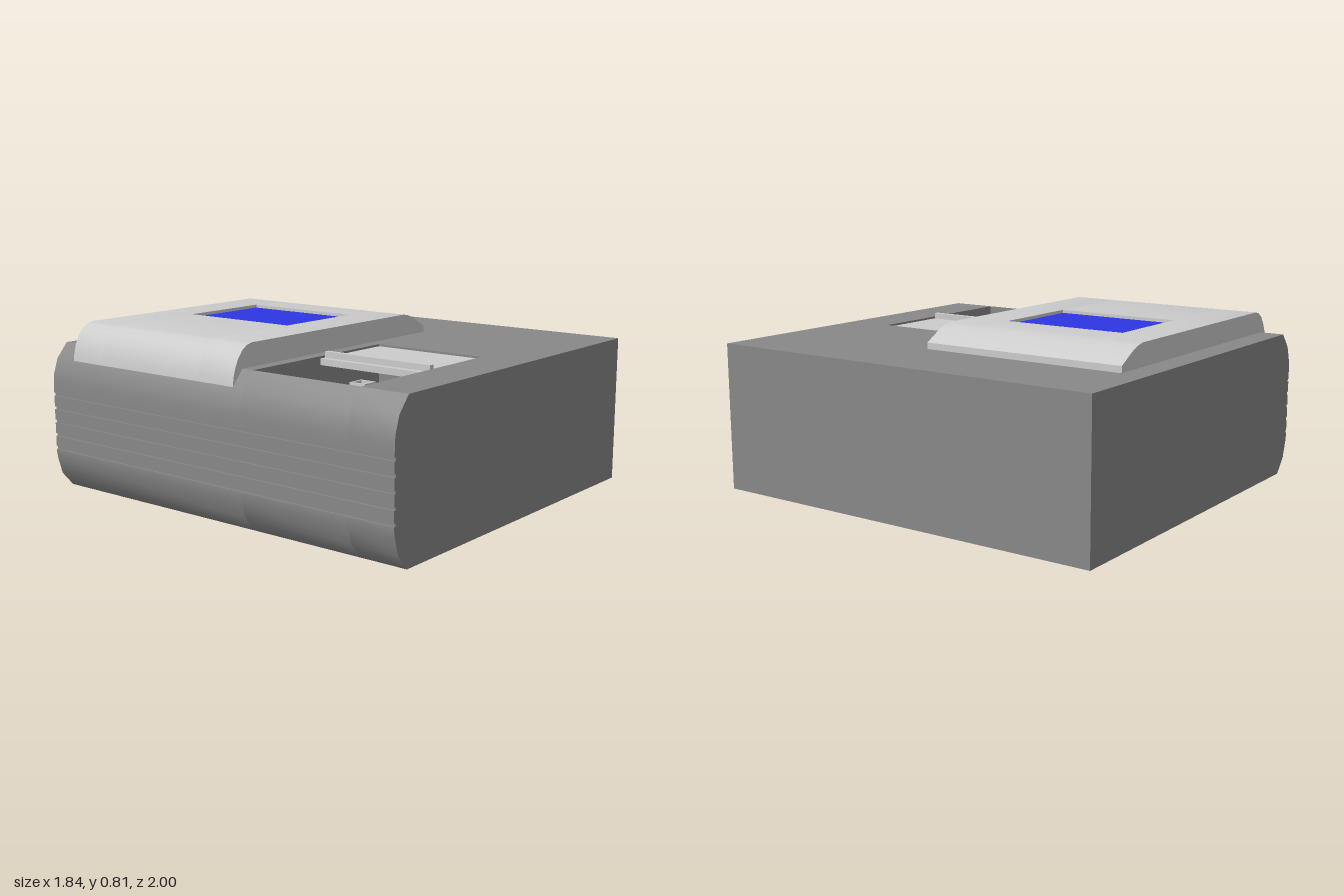
import * as THREE from 'three';
import { toCreasedNormals } from 'three/addons/utils/BufferGeometryUtils.js';

const paint = (color) => new THREE.MeshStandardMaterial({ color, side: THREE.DoubleSide });
const light = paint(0xcccccc);
const dark = paint(0x888888);
const black = paint(0x303030);
const blue = paint(0x2e35e3);

function add(parent, name, geometry, material) {
  const mesh = new THREE.Mesh(geometry, material);
  mesh.name = name;
  parent.add(mesh);
  return mesh;
}

// open-ended sweep of a counter-clockwise xy profile from z0 to z1
function sweep(profile, z0, z1) {
  const pos = [];
  profile.forEach(([ax, ay], i) => {
    const [bx, by] = profile[(i + 1) % profile.length];
    pos.push(ax, ay, z0, bx, by, z0, bx, by, z1);
    pos.push(ax, ay, z0, bx, by, z1, ax, ay, z1);
  });
  const g = new THREE.BufferGeometry();
  g.setAttribute('position', new THREE.Float32BufferAttribute(pos, 3));
  return toCreasedNormals(g, 0.5);
}

// flat outline at depth z
function cap(profile, z) {
  const shape = new THREE.Shape(profile.map(([x, y]) => new THREE.Vector2(x, y)));
  return new THREE.ShapeGeometry(shape).translate(0, 0, z);
}

// box given by its limits
function box(x0, x1, y0, y1, z0, z1) {
  return new THREE.BoxGeometry(x1 - x0, y1 - y0, z1 - z0)
    .translate((x0 + x1) / 2, (y0 + y1) / 2, (z0 + z1) / 2);
}

// swept solid with a rectangular recess cut down from its flat top
function recessedSolid(name, start, rest, z, recess, material) {
  const group = new THREE.Group();
  group.name = name;
  const { x0, x1, floor, top, z0, z1 } = recess;
  const full = [...start, ...rest];
  const pit = [[x1, top], [x1, floor], [x0, floor], [x0, top]];
  const notched = [...start, ...pit, ...rest];
  add(group, name + 'Rear', sweep(full, z[0], z0), material);
  add(group, name + 'Middle', sweep(notched, z0, z1), material);
  add(group, name + 'Front', sweep(full, z1, z[1]), material);
  z.forEach((d) => add(group, name + 'End', cap(full, d), material));
  [z0, z1].forEach((d) => add(group, name + 'RecessWall', cap(pit, d), material));
  return group;
}

export function createModel() {
  const model = new THREE.Group();

  // housing: rounded grip side with shallow grooves, and a deep chamber
  const side = [[-0.83, 0.7], [-0.89, 0.63], [-0.913, 0.56], [-0.918, 0.52]];
  for (const y of [0.46, 0.395, 0.33, 0.265, 0.2]) {
    side.push([-0.918, y + 0.007], [-0.91, y + 0.007], [-0.91, y - 0.007], [-0.918, y - 0.007]);
  }
  side.push([-0.918, 0.18], [-0.913, 0.15], [-0.89, 0.07], [-0.83, 0]);
  model.add(recessedSolid('housing', [[0.918, 0], [0.918, 0.7]], side, [-1, 1],
    { x0: -0.829, x1: 0.05, floor: 0.1, top: 0.7, z0: 0.2, z1: 0.77 }, dark));

  // raised display cover wrapping over the rounded side
  const coverStart = [[0.5, 0.7], [0.5, 0.73], [0.41, 0.781], [0.37, 0.797], [0.33, 0.805]];
  const coverRest = [[-0.77, 0.805], [-0.8, 0.798], [-0.83, 0.778], [-0.856, 0.745],
    [-0.875, 0.705], [-0.886, 0.665], [-0.89, 0.63], [-0.83, 0.7]];
  model.add(recessedSolid('displayCover', coverStart, coverRest, [-0.88, 0.14],
    { x0: -0.305, x1: 0.16, floor: 0.785, top: 0.805, z0: -0.68, z1: -0.065 }, light));
  add(model, 'screen', box(-0.305, 0.16, 0.775, 0.79, -0.68, -0.065), blue);

  // sliding lid over the chamber, with its finger ridge
  add(model, 'slidingLid', box(-0.385, 0.05, 0.66, 0.69, 0.2, 0.77), light);
  add(model, 'lidRidge', box(-0.355, -0.33, 0.69, 0.718, 0.2, 0.77), light);

  // dark mount on the chamber floor
  add(model, 'mountBlock', box(-0.525, -0.385, 0.1, 0.2, 0.41, 0.61), black);
  add(model, 'mountArm', box(-0.43, -0.385, 0.1, 0.2, 0.28, 0.41), black);
  add(model, 'postCollar', box(-0.545, -0.415, 0.1, 0.25, 0.45, 0.57), black);

  // square post with a hollow tip
  const post = new THREE.Group();
  post.name = 'post';
  post.position.set(-0.48, 0, 0.51);
  add(post, 'postShaft', box(-0.04, 0.04, 0.1, 0.58, -0.04, 0.04), light);
  for (let i = 0; i < 4; i++) {
    add(post, 'postTipWall', box(-0.04, 0.04, 0.58, 0.635, 0.03, 0.04), light)
      .rotation.y = i * Math.PI / 2;
  }
  model.add(post);

  return model;
}
